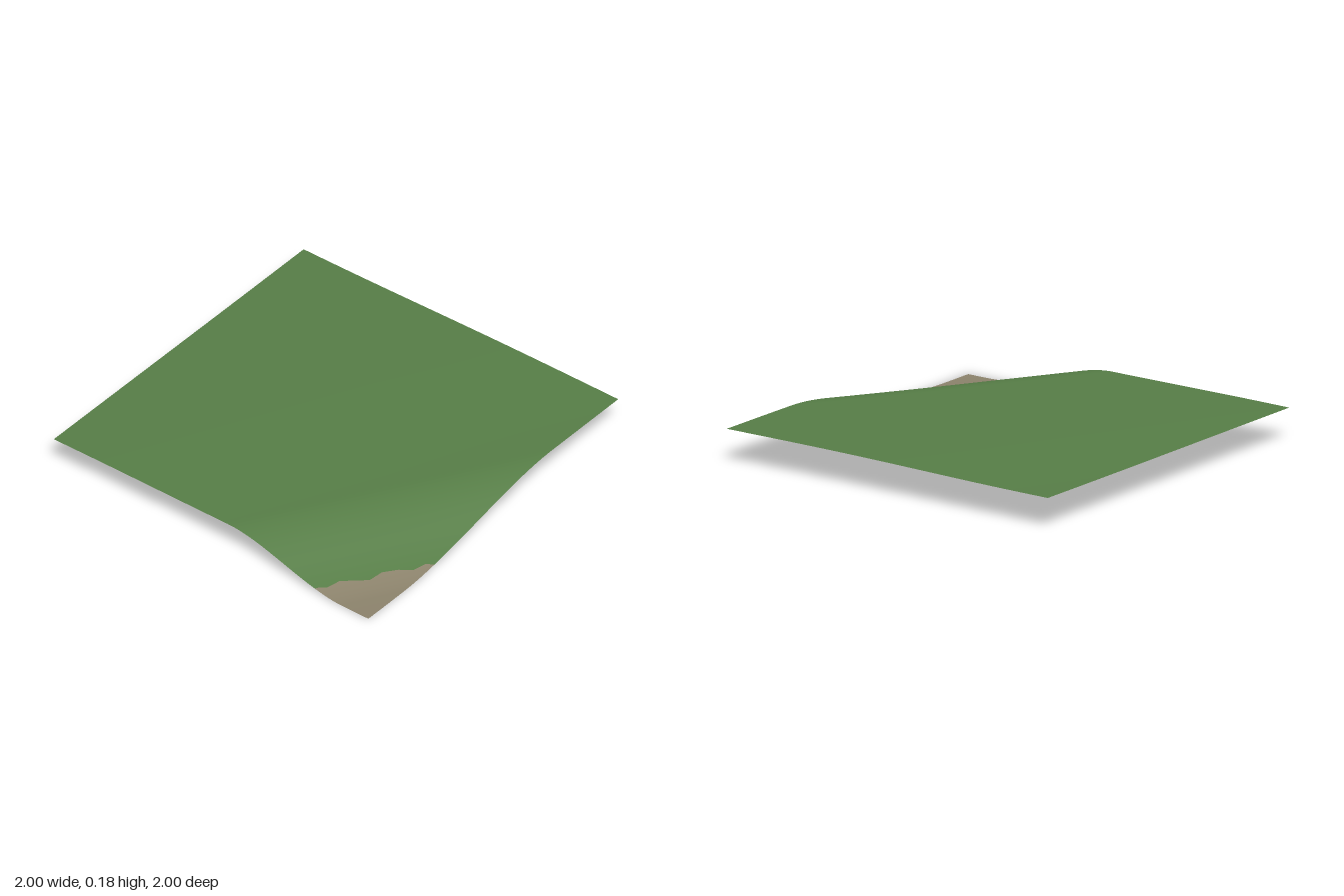
import * as THREE from 'three';
import { ParametricGeometry } from 'three/addons/geometries/ParametricGeometry.js';

// Ragged shoreline between grass and bare bank, as [z, x] points
const SHORE = [[-1, 1], [0.47, 1], [0.5, 0.965], [0.57, 0.945], [0.62, 0.89], [0.69, 0.84],
  [0.77, 0.825], [0.82, 0.775], [0.88, 0.72], [0.95, 0.7], [0.98, 0.67], [1, 0.66]];

function shoreX(z) {
  for (let i = 1; i < SHORE.length; i++) {
    const [z0, x0] = SHORE[i - 1], [z1, x1] = SHORE[i];
    if (z <= z1) return x0 + (x1 - x0) * (z - z0) / (z1 - z0);
  }
  return SHORE[SHORE.length - 1][1];
}

// Gently rolling plateau that falls away diagonally to a low corner
function height(x, z) {
  const u = x + (z - 1) * 0.61;
  const fall = THREE.MathUtils.smoothstep(u, 0.1, 0.82);
  const plateau = 0.172 + 0.003 * Math.sin(3 * x + 1.5 * z + 2.6)
    + 0.010 * THREE.MathUtils.smoothstep(x - z, 0.3, 2);
  const bed = 0.007 * (1 - THREE.MathUtils.smoothstep(u, 0.6, 0.92));
  return plateau * (1 - fall) + bed * fall;
}

// Sheet between two x limits, with normals taken from the slope so seams stay smooth
function sheet(name, zStart, xFrom, xTo, cols, rows, material) {
  const geometry = new ParametricGeometry((u, v, target) => {
    const z = zStart + (1 - zStart) * (1 - v);
    const a = xFrom(z), b = xTo(z);
    const x = a + (b - a) * u;
    target.set(x, height(x, z), z);
  }, cols, rows);
  const p = geometry.attributes.position, n = geometry.attributes.normal;
  const e = 0.005, dir = new THREE.Vector3();
  for (let i = 0; i < p.count; i++) {
    const x = p.getX(i), z = p.getZ(i);
    dir.set((height(x - e, z) - height(x + e, z)) / (2 * e), 1,
      (height(x, z - e) - height(x, z + e)) / (2 * e)).normalize();
    n.setXYZ(i, dir.x, dir.y, dir.z);
  }
  const mesh = new THREE.Mesh(geometry, material);
  mesh.name = name;
  return mesh;
}

export function createModel() {
  const grass = new THREE.MeshStandardMaterial({ color: 0x567d46, side: THREE.DoubleSide });
  grass.name = 'grass green';
  const earth = new THREE.MeshStandardMaterial({ color: 0x8b826b, side: THREE.DoubleSide });
  earth.name = 'bank earth';

  const model = new THREE.Group();
  model.name = 'terrainTile';
  model.add(sheet('grassField', -1, () => -1, shoreX, 80, 200, grass));
  model.add(sheet('bareBank', 0.47, shoreX, () => 1, 20, 53, earth));
  return model;
}
